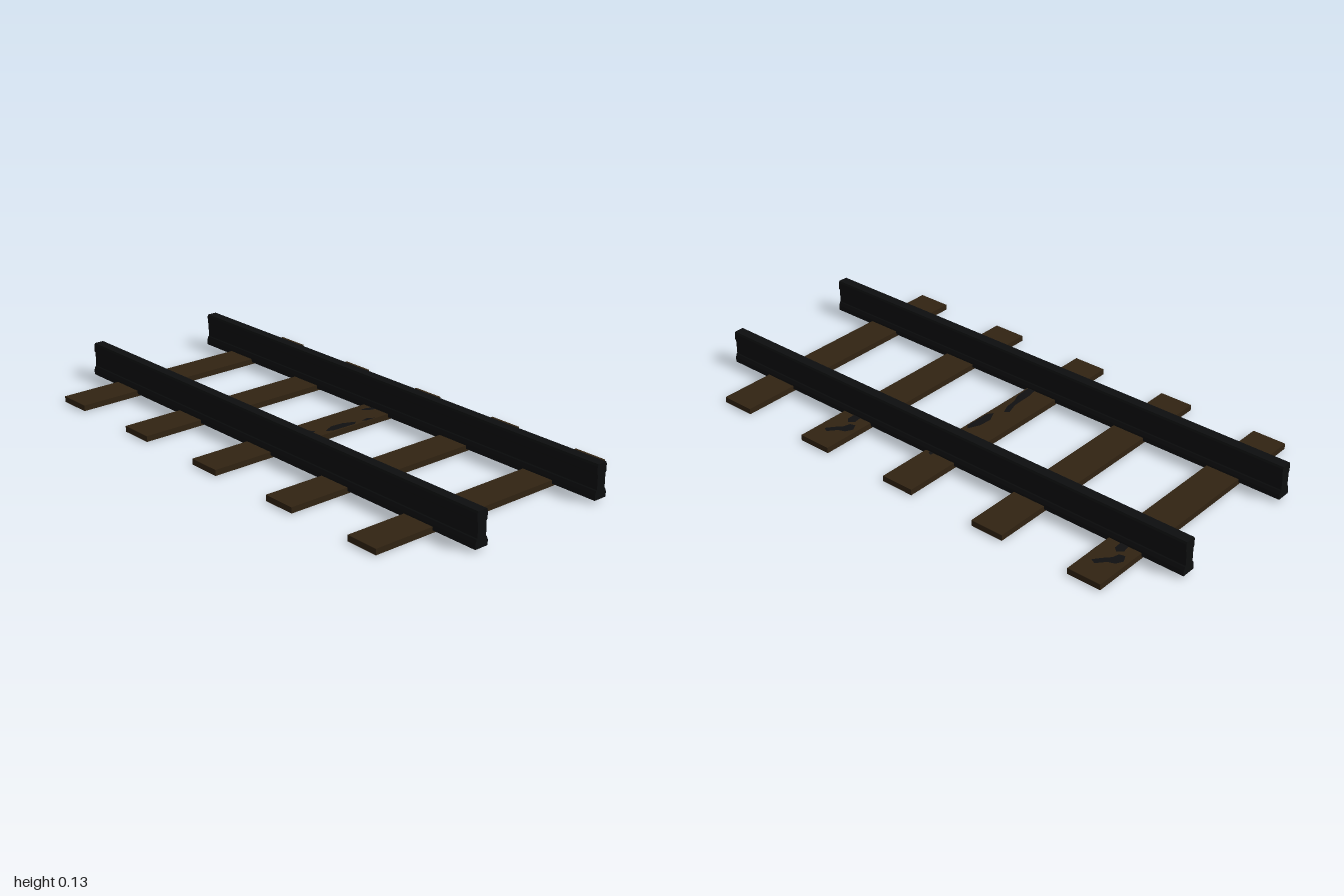
import * as THREE from 'three';

const wood = new THREE.MeshStandardMaterial({ color: 0x312312 });
wood.name = 'dark wood';
const iron = new THREE.MeshStandardMaterial({ color: 0x0d0e0f });
iron.name = 'black iron';
const stain = new THREE.MeshStandardMaterial({ color: 0x101011, side: THREE.DoubleSide });
stain.name = 'soot stain';

const TIE = { width: 1.024, height: 0.021, depth: 0.126 };
const TIE_BOTTOM = 0.001;
const TIE_TOP = TIE_BOTTOM + TIE.height;

function addMesh(parent, name, geometry, material, x = 0, y = 0, z = 0) {
  const mesh = new THREE.Mesh(geometry, material);
  mesh.name = name;
  mesh.position.set(x, y, z);
  parent.add(mesh);
  return mesh;
}

// Half of the rail section, from foot to head: [half width, height]
const halfRail = [
  [0.026, 0.01], [0.026, 0.029], [0.021, 0.041], [0.018, 0.044],
  [0.018, 0.094], [0.0215, 0.099], [0.0215, 0.125], [0.018, 0.132],
];

function railGeometry() {
  const right = halfRail.map(([x, y]) => new THREE.Vector2(x, y));
  const left = halfRail.map(([x, y]) => new THREE.Vector2(-x, y)).reverse();
  const geometry = new THREE.ExtrudeGeometry(new THREE.Shape([...right, ...left]), {
    depth: 2, bevelEnabled: false,
  });
  return geometry.translate(0, 0, -1);
}

// Flat patch lying on a tie; points are [x, z] from the tie centre
function patchGeometry(points) {
  const shape = new THREE.Shape(points.map(([x, z]) => new THREE.Vector2(x, z)));
  return new THREE.ShapeGeometry(shape).rotateX(Math.PI / 2);
}

const cornerPatches = [
  [[0.295, -0.012], [0.335, -0.018], [0.35, 0.0], [0.335, 0.016], [0.295, 0.018]],
  [[0.35, -0.035], [0.375, -0.048], [0.4, -0.035], [0.41, -0.01], [0.44, 0.015],
    [0.43, 0.034], [0.405, 0.015], [0.38, -0.008], [0.355, -0.015]],
];
const middlePatches = [
  [[-0.235, 0.03], [-0.19, 0.022], [-0.11, 0.02], [-0.06, 0.004], [-0.05, 0.02],
    [-0.085, 0.035], [-0.13, 0.04], [-0.165, 0.055], [-0.23, 0.058]],
  [[-0.02, 0.042], [0.02, 0.022], [0.07, 0.025], [0.115, 0.045], [0.1, 0.058], [0, 0.056]],
  [[0.14, 0.05], [0.17, 0.045], [0.19, 0.06], [0.15, 0.061]],
  [[0.205, -0.03], [0.235, -0.028], [0.262, -0.012], [0.255, 0.0], [0.225, -0.008]],
  [[0.295, 0.025], [0.318, 0.03], [0.312, 0.045], [0.295, 0.044]],
];
const undersidePatch = [
  [0.44, -0.045], [0.4, -0.05], [0.36, -0.01], [0.23, 0.0],
  [0.22, 0.03], [0.3, 0.045], [0.38, 0.02],
];

export function createModel() {
  const model = new THREE.Group();
  model.name = 'railTrack';

  // Five wooden ties, evenly spaced
  const tieGeometry = new THREE.BoxGeometry(TIE.width, TIE.height, TIE.depth);
  for (let i = 0; i < 5; i++) {
    const tie = new THREE.Group();
    tie.name = `tie${i + 1}`;
    tie.position.z = -0.781 + i * 0.385;
    model.add(tie);
    addMesh(tie, 'tieBoard', tieGeometry, wood, 0, TIE_BOTTOM + TIE.height / 2, 0);

    // Worn, sooty patches on some ties
    const patches = i === 2 ? middlePatches : i === 0 || i === 3 ? cornerPatches : [];
    for (const points of patches) {
      addMesh(tie, 'sootPatch', patchGeometry(points), stain, 0, TIE_TOP + 0.001, 0);
    }
    if (patches === cornerPatches) {
      addMesh(tie, 'undersidePatch', patchGeometry(undersidePatch), stain, 0, 0, 0);
      addMesh(tie, 'edgePatch', new THREE.BoxGeometry(0.035, 0.02, 0.002), stain,
        0.38, TIE_BOTTOM + TIE.height / 2, TIE.depth / 2);
    }
  }

  // Two iron rails
  const rail = railGeometry();
  addMesh(model, 'rightRail', rail, iron, -0.255, 0, 0);
  addMesh(model, 'leftRail', rail, iron, 0.278, 0, 0);

  return model;
}
